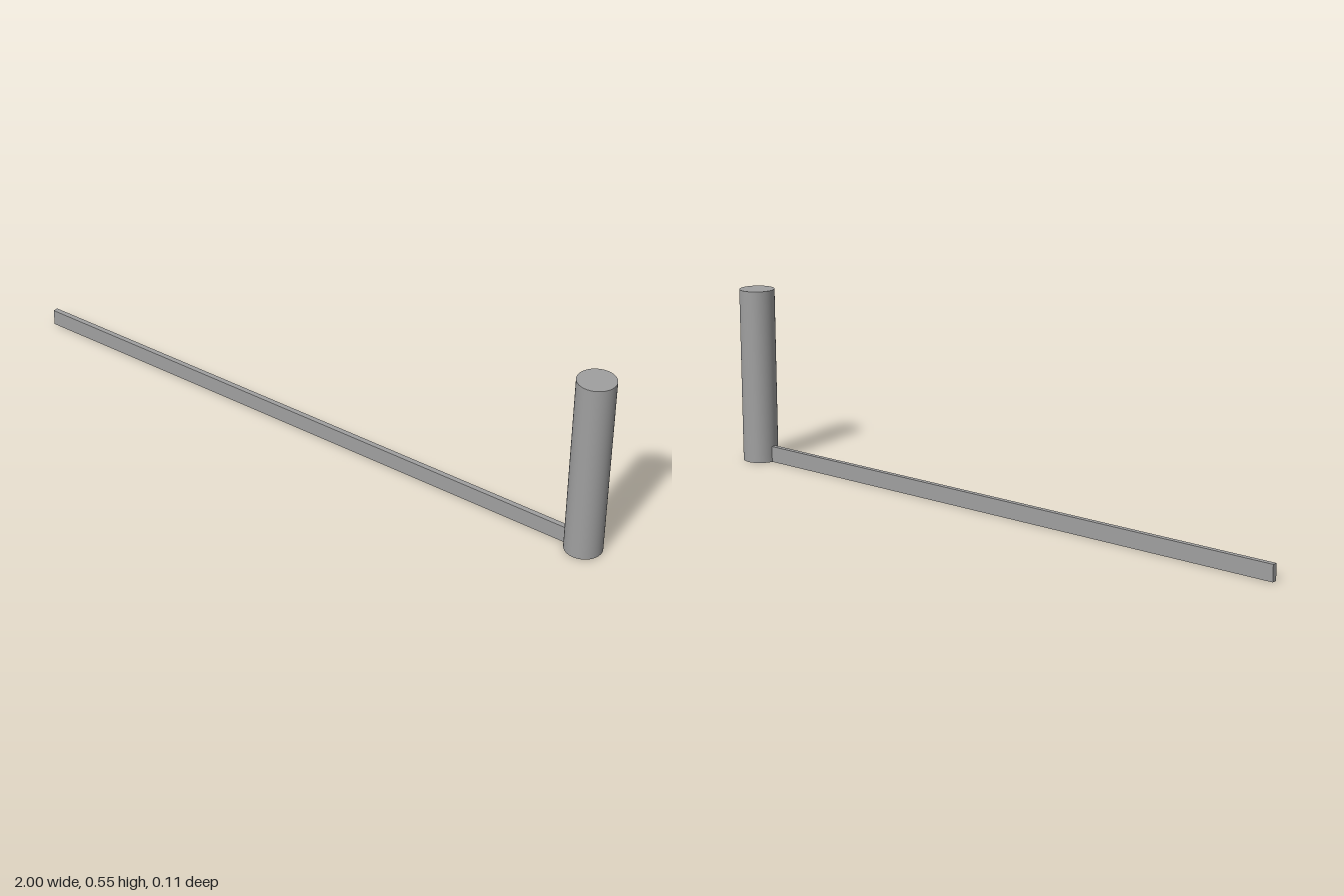
import * as THREE from 'three';

export function createModel() {
  const group = new THREE.Group();
  const material = new THREE.MeshStandardMaterial({ color: 0xa0a0a0 });
  const radius = 0.055, height = 0.551, postX = 1 - radius;

  // Upright round post
  const post = new THREE.Mesh(new THREE.CylinderGeometry(radius, radius, height, 64), material);
  post.name = 'post';
  post.position.set(postX, height / 2, 0);
  group.add(post);

  // Long flat bar reaching out from inside the post, swung slightly forward
  const length = 1 + postX;
  const barGeometry = new THREE.BoxGeometry(length, 0.05, 0.016);
  barGeometry.translate(-length / 2, 0.025, 0);
  const bar = new THREE.Mesh(barGeometry, material);
  bar.name = 'bar';
  bar.position.set(postX, 0, 0.004);
  bar.rotation.y = 0.0048;
  group.add(bar);

  return group;
}
